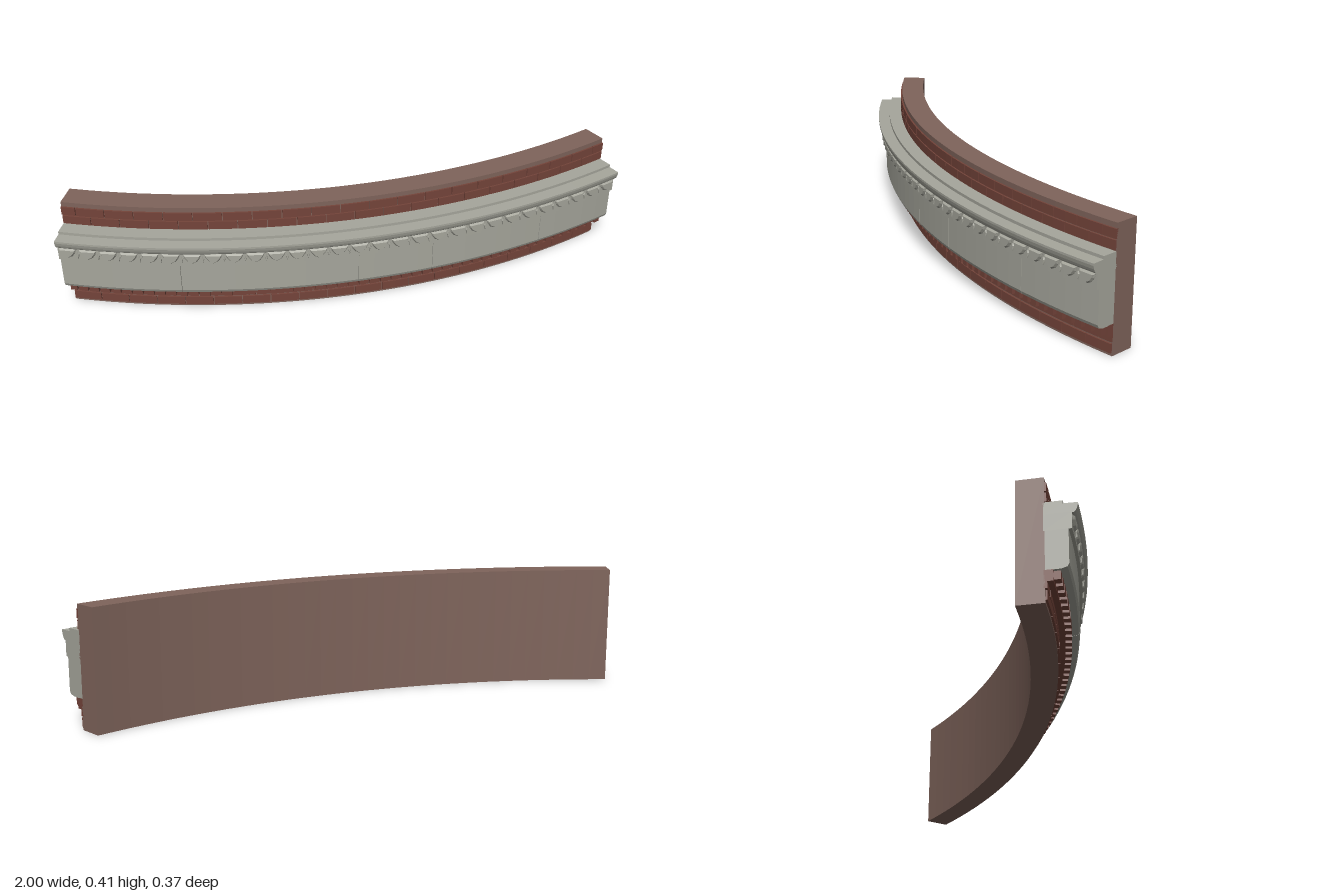
import * as THREE from 'three';
import { mergeGeometries } from 'three/addons/utils/BufferGeometryUtils.js';

const R = 2.435;           // radius of the wall's back face
const CENTRE_Z = -2.433;   // centre of curvature
const HALF = Math.PI / 8;  // half the angle of the arc

// Place a point given by radial depth d, height y and angle a
function place(p, i, d, y, a) {
  p.setXYZ(i, (R + d) * Math.sin(a), y, (R + d) * Math.cos(a) + CENTRE_Z);
}

// Sweep a [depth, height] profile around the arc from angle a0 to a1
function sweep(profile, a0 = -HALF, a1 = HALF, steps = 32) {
  const shape = new THREE.Shape(profile.map(([d, y]) => new THREE.Vector2(d, y)));
  const g = new THREE.ExtrudeGeometry(shape, { depth: a1 - a0, steps, bevelEnabled: false });
  const p = g.attributes.position;
  for (let i = 0; i < p.count; i++) place(p, i, p.getX(i), p.getY(i), a1 - p.getZ(i));
  g.computeVertexNormals();
  return g;
}

const rect = (d0, d1, y0, y1) => [[d0, y0], [d1, y0], [d1, y1], [d0, y1]];

// Wrap an upright relief (x along the arc, y up, z outward) onto the curve
function wrap(geometry, angle, depth) {
  const g = geometry.clone();
  const p = g.attributes.position;
  for (let i = 0; i < p.count; i++) {
    place(p, i, depth + p.getZ(i), p.getY(i), angle + p.getX(i) / (R + depth));
  }
  g.computeVertexNormals();
  return g;
}

export function createModel() {
  const model = new THREE.Group();
  const material = (name, color) => {
    const m = new THREE.MeshStandardMaterial({ color });
    m.name = name;
    return m;
  };
  const mortar = material('mortar brown', 0x7f645b);
  const brick = material('brick red', 0x74443a);
  const stone = material('grey stone', 0xa6a69c);
  const add = (name, geometry, mat) => {
    const mesh = new THREE.Mesh(geometry, mat);
    mesh.name = name;
    model.add(mesh);
  };

  // Curved wall core
  add('wallCore', sweep(rect(0, 0.084, 0, 0.408)), mortar);

  // Brick courses in running bond above and below the stone band
  const courses = [[0.01, 0.04], [0.046, 0.067], [0.327, 0.357], [0.361, 0.391]];
  const count = 20, pitch = 2 * HALF / count, gap = 0.0006;
  courses.forEach(([y0, y1], row) => {
    const bricks = [];
    const shift = row % 2 ? 0.5 : 0;
    for (let i = 0; i < count + 2 * shift; i++) {
      const a0 = Math.max(-HALF, -HALF + (i - shift) * pitch + gap);
      const a1 = Math.min(HALF, -HALF + (i + 1 - shift) * pitch - gap);
      bricks.push(sweep(rect(0.08, 0.09, y0, y1), a0, a1, 2));
    }
    add('brickCourse' + (row + 1), mergeGeometries(bricks), brick);
  });

  // Projecting brick course with a row of dentils
  add('dentilBacking', sweep(rect(0.08, 0.107, 0.067, 0.103)), brick);
  const dentils = [];
  const dentilCount = 52, dentilPitch = 2 * HALF / dentilCount;
  for (let i = 0; i < dentilCount; i++) {
    const a = -HALF + (i + 0.5) * dentilPitch;
    dentils.push(sweep(rect(0.1, 0.127, 0.074, 0.101), a - dentilPitch * 0.3, a + dentilPitch * 0.3, 1));
  }
  add('dentils', mergeGeometries(dentils), brick);

  // Frieze blocks with a chamfered foot and fine joints
  const frieze = [[0.08, 0.102], [0.128, 0.102], [0.147, 0.107], [0.152, 0.118], [0.152, 0.23], [0.08, 0.23]];
  const joints = [-0.6, 0, 0.265, 0.685].map(x => Math.asin(x / (R + 0.152)));
  const edges = [-HALF, ...joints, HALF];
  const blocks = [];
  for (let i = 0; i < edges.length - 1; i++) {
    const a0 = edges[i] + (i > 0 ? 0.0003 : 0);
    const a1 = edges[i + 1] - (i < edges.length - 2 ? 0.0003 : 0);
    blocks.push(sweep(frieze, a0, a1, Math.ceil((a1 - a0) / 0.025)));
  }
  add('friezeBlocks', mergeGeometries(blocks), stone);

  // Band behind the carved leaves
  add('ornamentBand', sweep(rect(0.08, 0.162, 0.228, 0.283)), stone);

  // Hanging leaves with a raised face, and small darts between them
  const relief = (points, bevel) => new THREE.ExtrudeGeometry(
    new THREE.Shape(points.map(([x, y]) => new THREE.Vector2(x, y))),
    { depth: 0.001, bevelEnabled: true, bevelThickness: 0.007, bevelSize: bevel, bevelOffset: -bevel, bevelSegments: 1 });
  const leaf = relief([[-0.03, 0.276], [-0.026, 0.262], [-0.015, 0.247], [0, 0.239],
    [0.015, 0.247], [0.026, 0.262], [0.03, 0.276]], 0.005);
  const dart = relief([[-0.006, 0.258], [0, 0.238], [0.006, 0.258], [0, 0.268]], 0.003);
  const leafCount = 29, leafPitch = 2 * HALF / leafCount;
  const leaves = [];
  for (let i = 0; i < leafCount; i++) {
    const a = -HALF + (i + 0.5) * leafPitch;
    leaves.push(wrap(leaf, a, 0.162));
    if (i < leafCount - 1) leaves.push(wrap(dart, a + leafPitch / 2, 0.159));
  }
  add('carvedLeaves', mergeGeometries(leaves), stone);

  // Crown moulding with a flared lip and a stepped top
  add('crownMoulding', sweep([[0.08, 0.28], [0.168, 0.28], [0.173, 0.285], [0.177, 0.294], [0.18, 0.305],
    [0.18, 0.312], [0.137, 0.313], [0.137, 0.323], [0.08, 0.323]]), stone);

  return model;
}
